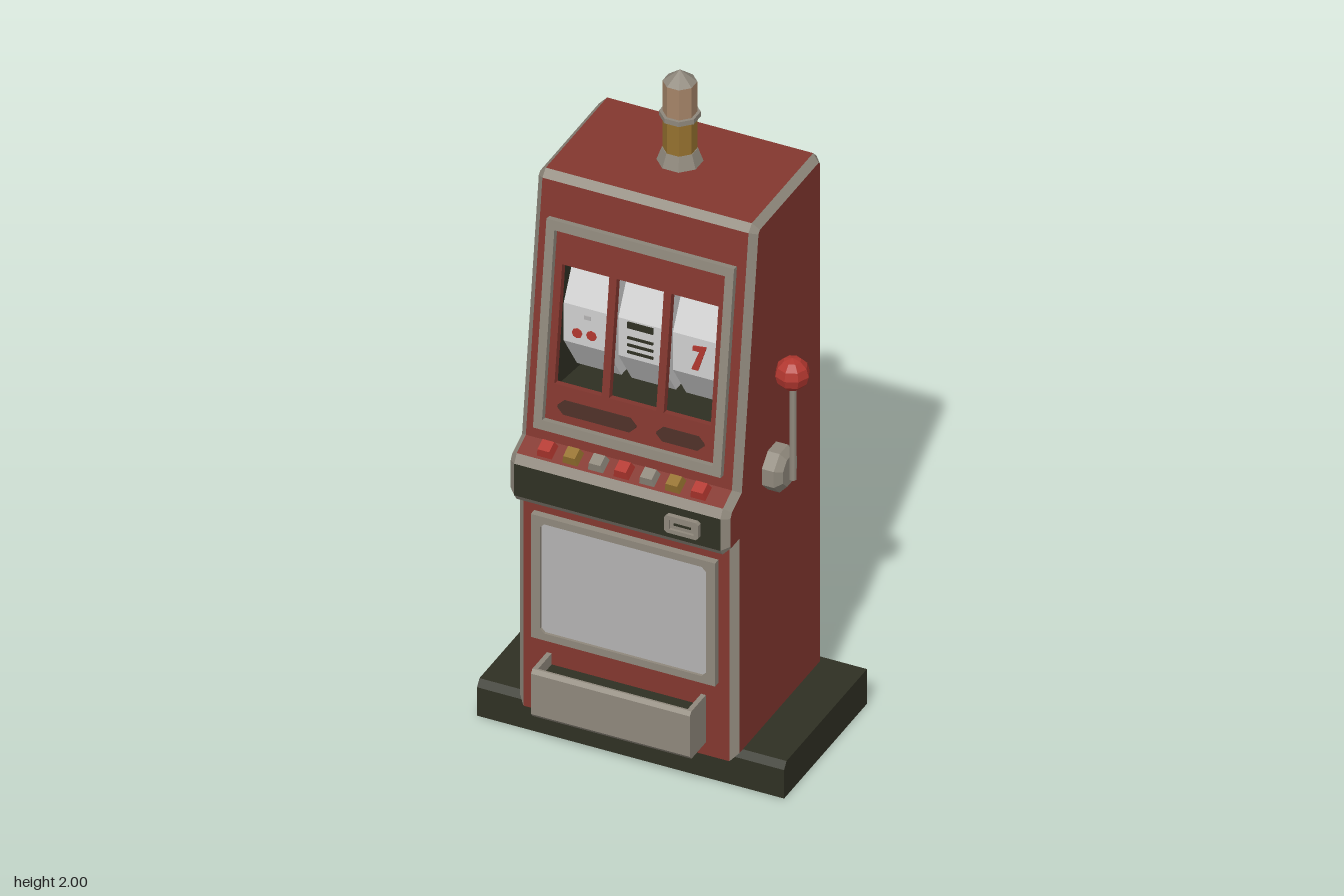
import * as THREE from 'three';

const mat = (name, color, side = THREE.FrontSide) => {
  const m = new THREE.MeshStandardMaterial({ color, side });
  m.name = name;
  return m;
};

export function createModel() {
  const red = mat('cabinet red', 0x83372f);
  const steel = mat('steel', 0x8f887c);
  const dark = mat('dark olive', 0x2f3023);
  const bright = mat('bright red', 0xb2372f);
  const gold = mat('gold', 0x95712f);
  const tan = mat('lamp tan', 0xa58468);
  const glass = mat('screen grey', 0xb4b2b2);
  const white = mat('reel white', 0xd0d0d0);
  const brown = mat('slot brown', 0x4c2f27);
  const root = new THREE.Group();

  const add = (name, geo, material, x = 0, y = 0, z = 0, parent = root) => {
    const flat = geo.index ? geo.toNonIndexed() : geo;
    flat.computeVertexNormals();
    const m = new THREE.Mesh(flat, material);
    m.name = name;
    m.position.set(x, y, z);
    parent.add(m);
    return m;
  };
  const box = (name, w, h, d, material, x, y, z, parent) =>
    add(name, new THREE.BoxGeometry(w, h, d), material, x, y, z, parent);
  const shapeOf = pts => new THREE.Shape(pts.map(p => new THREE.Vector2(p[0], p[1])));
  const rect = (x0, x1, y0, y1) => [[x0, y0], [x1, y0], [x1, y1], [x0, y1]];
  // rectangle with cut corners
  const cutRect = (w, h, c) => [[-w + c, -h], [w - c, -h], [w, -h + c], [w, h - c],
    [w - c, h], [-w + c, h], [-w, h - c], [-w, -h + c]];
  // outline in (z, y), extruded along x
  const extrudeX = (pts, w) => new THREE.ExtrudeGeometry(shapeOf(pts), { depth: w, bevelEnabled: false })
    .rotateY(-Math.PI / 2).translate(w / 2, 0, 0);
  // plate facing +z with holes
  const plate = (outer, holes, depth) => {
    const s = shapeOf(outer);
    holes.forEach(h => s.holes.push(shapeOf(h)));
    return new THREE.ExtrudeGeometry(s, { depth, bevelEnabled: false });
  };

  // plinth
  add('plinth', extrudeX([[-0.31, 0], [0.19, 0], [0.19, 0.09], [0.175, 0.11], [-0.31, 0.11]], 0.9), dark);

  // cabinet shell: side profile (z, y) and the colour of the wall after each point
  const profile = [
    [-0.31, 0.09, red], [-0.31, 1.695, steel], [-0.29, 1.715, red], [0.08, 1.715, steel],
    [0.10, 1.695, null], [0.20, 0.94, red], [0.255, 0.915, steel], [0.27, 0.89, dark],
    [0.27, 0.79, steel], [0.255, 0.77, red], [0.215, 0.77, red], [0.215, 0.09, red]];
  const n = profile.length, X0 = 0.302, X1 = 0.322, inset = 0.02;
  const edgeNormal = i => {
    const a = profile[i % n], b = profile[(i + 1) % n];
    return new THREE.Vector2(b[1] - a[1], a[0] - b[0]).normalize();
  };
  const inner = profile.map((p, i) => {
    const a = edgeNormal(i + n - 1), b = edgeNormal(i);
    const m = a.clone().add(b).multiplyScalar(inset / (1 + a.dot(b)));
    return [p[0] + m.x, p[1] + m.y];
  });
  const faces = new Map();
  const quad = (material, a, b, c, d) => {
    if (!faces.has(material)) faces.set(material, []);
    faces.get(material).push(...[a, b, c, a, c, d].flat());
  };
  const at = (x, p) => [x, p[1], p[0]];
  profile.forEach((p, i) => {
    const j = (i + 1) % n, p1 = profile[j], q = inner[i], q1 = inner[j];
    if (p[2]) quad(p[2], at(-X0, p), at(-X0, p1), at(X0, p1), at(X0, p));
    quad(steel, at(X0, p), at(X0, p1), at(X1, q1), at(X1, q));
    quad(steel, at(-X1, q), at(-X1, q1), at(-X0, p1), at(-X0, p));
  });
  faces.forEach((list, material) => {
    const g = new THREE.BufferGeometry();
    g.setAttribute('position', new THREE.Float32BufferAttribute(list, 3));
    add(material === steel ? 'cabinetTrim' : material === dark ? 'consoleFront' : 'cabinetWalls', g, material);
  });
  for (const s of [-1, 1]) {
    const g = new THREE.ShapeGeometry(shapeOf(inner.map(p => [-s * p[0], p[1]])));
    add('cabinetSide', g.rotateY(s * Math.PI / 2), red, s * X1);
  }

  // sloped upper front with three windows
  const slope = new THREE.Group();
  slope.name = 'upperFront';
  slope.position.set(0, 1.3175, 0.15);
  slope.rotation.x = -Math.atan2(0.1, 0.755);
  root.add(slope);
  const reelX = [-0.16, 0, 0.16];
  const half = Math.hypot(0.1, 0.755) / 2;
  add('windowPanel', plate(rect(-X0, X0, -half, half),
    reelX.map(x => rect(x - 0.069, x + 0.069, -0.209, 0.144)), 0.02), red, 0, 0, -0.02, slope);
  add('windowFrame', plate(rect(-0.275, 0.275, -0.344, 0.275),
    [rect(-0.25, 0.25, -0.316, 0.247)], 0.018), steel, 0, 0, 0, slope);
  // dark reel chamber
  box('chamberBack', 0.54, 0.48, 0.01, dark, 0, -0.03, -0.28, slope);
  for (const s of [-1, 1]) {
    box('chamberSide', 0.01, 0.48, 0.26, dark, s * 0.265, -0.03, -0.151, slope);
    box('chamberEnd', 0.54, 0.01, 0.26, dark, 0, -0.03 + s * 0.235, -0.151, slope);
  }
  // pill-shaped labels below the windows
  for (const [x, w] of [[-0.1, 0.115], [0.145, 0.07]])
    add('pillPlate', plate(cutRect(w, 0.021, 0.018), [], 0.004), brown, x, -0.27, 0, slope);

  // reels
  const reel = [[0.06, 1.47], [0.13, 1.34], [0.13, 1.22], [0.05, 1.10], [-0.05, 1.10], [-0.10, 1.28], [-0.05, 1.47]];
  reelX.forEach(x => add('reel', extrudeX(reel, 0.13), white, x));
  // painted reel marks
  for (const [x, y] of [[-0.185, 1.255], [-0.143, 1.258]])
    add('cherry', new THREE.CylinderGeometry(0.015, 0.015, 0.004, 8).rotateX(Math.PI / 2), bright, x, y, 0.131);
  box('cherryStem', 0.018, 0.012, 0.004, glass, -0.155, 1.312, 0.131);
  [[1.325, 0.02], [1.285, 0.008], [1.262, 0.008], [1.24, 0.008]].forEach(([y, h]) =>
    box('reelBar', 0.075, h, 0.004, dark, 0, y, 0.131));
  add('reelBolt', plate([[-0.015, -0.045], [0.005, -0.045], [0.03, 0.035], [-0.01, 0.03], [-0.012, 0.015], [0.008, 0.015]],
    [], 0.003), bright, 0.165, 1.285, 0.13);
  reelX.forEach(x => {
    box('upperReelMark', 0.06, 0.012, 0.004, x ? bright : dark, x, 1.44, 0.0765).rotation.x = -0.494;
  });

  // button row
  [bright, gold, steel, bright, steel, gold, bright].forEach((m, i) => {
    const g = new THREE.CylinderGeometry(0.024, 0.032, 0.028, 4).rotateY(Math.PI / 4);
    add('button', g, m, (i - 3) * 0.075, 0.938, 0.232).rotation.x = 0.43;
  });

  // coin slot
  add('coinSlotFrame', plate(cutRect(0.05, 0.027, 0.007), [rect(-0.036, 0.036, -0.015, 0.015)], 0.015),
    steel, 0.194, 0.84, 0.269);
  box('coinSlotPlate', 0.072, 0.03, 0.006, steel, 0.194, 0.84, 0.273);
  box('coinSlit', 0.05, 0.006, 0.004, dark, 0.194, 0.84, 0.277);

  // lower screen
  add('screenFrame', plate(rect(-0.27, 0.27, -0.195, 0.195), [cutRect(0.243, 0.173, 0.012)], 0.022),
    steel, 0, 0.525, 0.214);
  box('screen', 0.5, 0.36, 0.008, glass, 0, 0.527, 0.224);

  // payout tray, open at the top
  add('trayFront', extrudeX([[0.296, 0.13], [0.302, 0.13], [0.312, 0.142], [0.312, 0.27], [0.302, 0.28], [0.296, 0.28]], 0.466),
    steel);
  for (const s of [-1, 1]) box('traySide', 0.014, 0.15, 0.084, steel, s * 0.226, 0.205, 0.255);
  box('trayFloor', 0.44, 0.012, 0.084, steel, 0, 0.136, 0.255);
  box('trayLining', 0.438, 0.1, 0.081, dark, 0, 0.195, 0.2545);

  // lever
  add('leverMount', new THREE.CylinderGeometry(0.046, 0.066, 0.018, 8).rotateY(Math.PI / 8).rotateZ(-Math.PI / 2),
    steel, 0.366, 0.905, 0);
  add('leverHub', new THREE.CylinderGeometry(0.066, 0.066, 0.037, 8).rotateY(Math.PI / 8).rotateZ(-Math.PI / 2),
    steel, 0.3385, 0.905, 0);
  add('leverRod', new THREE.CylinderGeometry(0.01, 0.01, 0.3, 8), steel, 0.384, 1.03, 0);
  add('leverKnob', new THREE.SphereGeometry(0.048, 8, 6), bright, 0.382, 1.215, 0);

  // top lamp, stacked octagonal sections: name, bottom radius, top radius, y from, y to
  [['lampFoot', 0.064, 0.048, 1.71, 1.755, steel], ['lampBase', 0.046, 0.046, 1.755, 1.855, gold],
    ['lampRing', 0.055, 0.055, 1.855, 1.87, steel], ['lampBody', 0.046, 0.046, 1.87, 1.965, tan],
    ['lampCap', 0.046, 0.002, 1.965, 2.0, steel]].forEach(([name, rb, rt, y0, y1, m]) =>
    add(name, new THREE.CylinderGeometry(rt, rb, y1 - y0, 8).rotateY(Math.PI / 8), m, 0, (y0 + y1) / 2, -0.108));

  return root;
}
